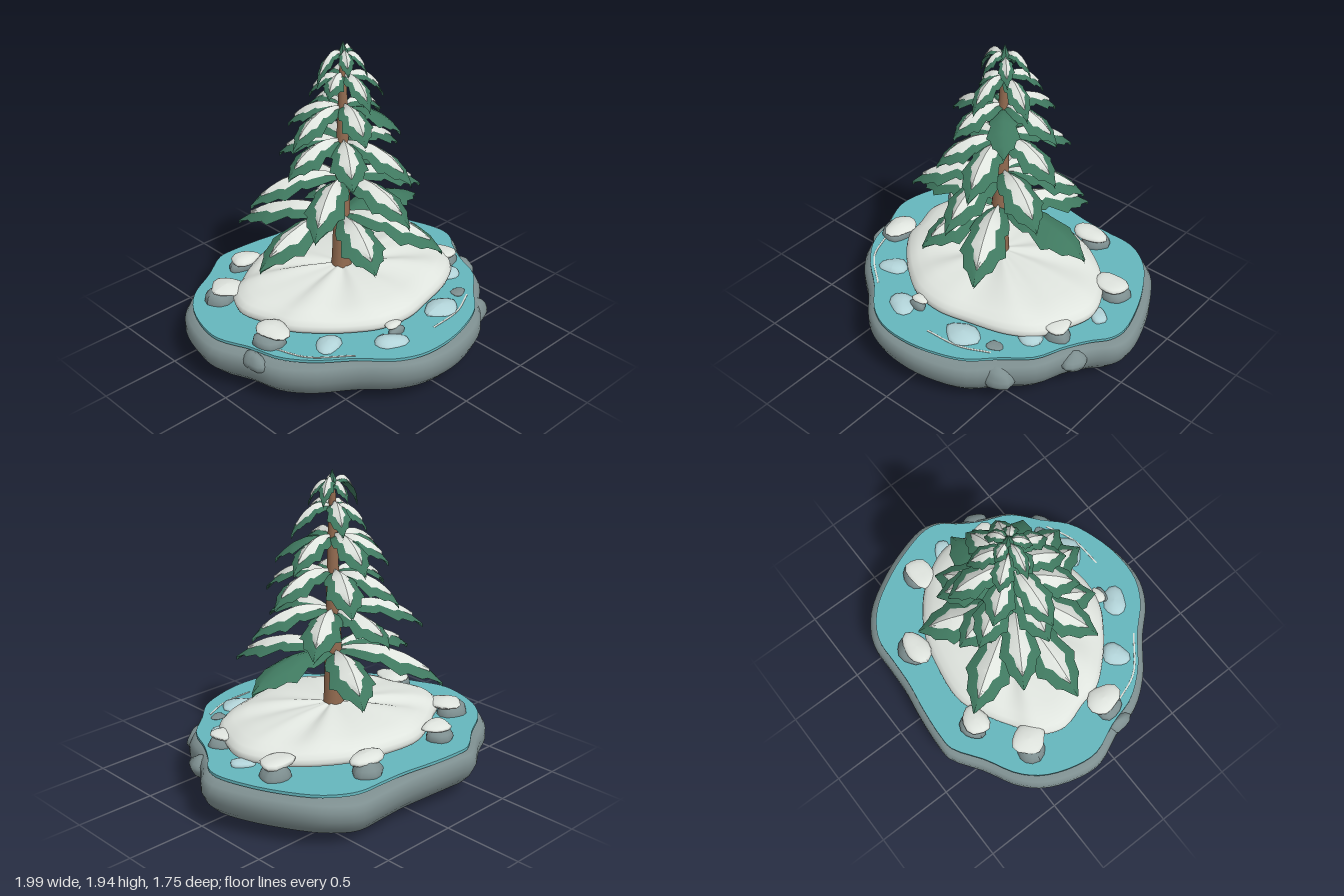
import * as THREE from 'three';
import { toCreasedNormals } from 'three/addons/utils/BufferGeometryUtils.js';

const mat = (name, color) => {
  const m = new THREE.MeshStandardMaterial({ color });
  m.name = name;
  return m;
};

// Closed outline from a few x,z pairs (clockwise seen from above)
function outline(pairs, n = 96) {
  const pts = [];
  for (let i = 0; i < pairs.length; i += 2) pts.push(new THREE.Vector3(pairs[i], 0, pairs[i + 1]));
  return new THREE.CatmullRomCurve3(pts, true).getPoints(n).slice(0, n);
}

// Skin over rows of points; closes each row
function skin(rows, flip) {
  const n = rows[0].length, pos = [], idx = [];
  rows.forEach(r => r.forEach(p => pos.push(...p)));
  for (let i = 0; i < rows.length - 1; i++) for (let j = 0; j < n; j++) {
    const a = i * n + j, b = i * n + (j + 1) % n, c = a + n, d = b + n;
    if (flip) idx.push(a, c, b, b, c, d);
    else idx.push(a, b, c, b, d, c);
  }
  const g = new THREE.BufferGeometry();
  g.setAttribute('position', new THREE.Float32BufferAttribute(pos, 3));
  g.setIndex(idx);
  g.computeVertexNormals();
  return g;
}

// Stack of scaled outlines, listed bottom to top as [scale, y]
function loft(line, rings, cx, cz, wobble = () => 0) {
  return skin(rings.map(([s, y]) => line.map((p, j) =>
    [cx + (p.x - cx) * s, y + wobble(j / line.length * Math.PI * 2, s), cz + (p.z - cz) * s])), true);
}

// Serrated, arched blade along +x; stations are [t, relative half width]
function blade(L, W, rise, drop, stations, lift, thick) {
  const rows = stations.map(([t, w]) => {
    const y = L * (rise * t - (rise + drop) * t * t);
    const at = (s, under) => {
      const z = s * w;
      const bulge = (1 - Math.abs(s)) * (under ? -thick : lift) + lift * 0.5;
      return [t * L, y - 0.45 * W * Math.abs(z) ** 1.5 + bulge, z * W];
    };
    return [-1, -0.5, 0, 0.5, 1].map(s => at(s, false)).concat([0.5, 0, -0.5].map(s => at(s, true)));
  });
  return toCreasedNormals(skin(rows, false), 0.8);
}

// Slightly irregular boulder
function boulder(seed) {
  const g = new THREE.SphereGeometry(1, 14, 9), p = g.attributes.position;
  for (let i = 0; i < p.count; i++) {
    const x = p.getX(i), y = p.getY(i), z = p.getZ(i);
    const k = 1 + 0.1 * Math.sin(3 * x + seed) + 0.08 * Math.sin(4 * z + 2 * seed) + 0.05 * Math.sin(5 * y + seed);
    p.setXYZ(i, x * k, y * k, z * k);
  }
  g.computeVertexNormals();
  return g;
}

export function createModel() {
  const root = new THREE.Group();
  const stone = mat('grey stone', 0x7e8f90), water = mat('teal water', 0x65b6bd), snow = mat('snow', 0xdfe4de);
  const bark = mat('brown bark', 0x936b50), needle = mat('pine green', 0x3f785f), ice = mat('pale ice', 0xb2d3d8);
  const add = (name, geo, m, parent = root) => {
    const mesh = new THREE.Mesh(geo, m);
    mesh.name = name;
    parent.add(mesh);
    return mesh;
  };

  // Stone base
  const shore = outline([-0.38, -0.87, -0.27, -0.878, -0.05, -0.86, 0.15, -0.83, 0.35, -0.82, 0.5, -0.815, 0.6, -0.78,
    0.73, -0.68, 0.85, -0.5, 0.94, -0.3, 0.995, -0.08, 0.97, 0.03, 0.89, 0.13, 0.8, 0.28, 0.72, 0.46, 0.55, 0.61, 0.4, 0.75,
    0.2, 0.83, 0, 0.865, -0.2, 0.85, -0.36, 0.77, -0.52, 0.61, -0.72, 0.45, -0.85, 0.28, -0.91, 0.08, -0.995, -0.13,
    -0.98, -0.3, -0.9, -0.5, -0.78, -0.63, -0.58, -0.74]);
  add('stoneBase', loft(shore, [[0, 0.03], [0.4, 0.03], [0.7, 0.032], [0.84, 0.052], [0.92, 0.09], [0.97, 0.14], [1, 0.2],
    [1, 0.255], [0.98, 0.29], [0.94, 0.308], [0.85, 0.31], [0, 0.31]], 0, 0,
    (a, s) => s * 0.01 * (Math.sin(3 * a + 1) + Math.sin(5 * a))), stone);
  [[0.29, 0.05, 0.5, 0.13, 0.04, 0.13], [0.8, 0.24, 0.23, 0.08, 0.06, 0.09], [-0.86, 0.26, 0.12, 0.06, 0.06, 0.08],
    [0.53, 0.2, 0.57, 0.1, 0.08, 0.1]]
    .forEach(([x, y, z, a, b, c], i) => {
      const m = add('baseLump', boulder(i), stone);
      m.position.set(x, y, z);
      m.scale.set(a, b, c);
    });

  // Water sheet
  const rim = shore.map(p => new THREE.Vector3(p.x * 0.945, 0, p.z * 0.955));
  add('water', toCreasedNormals(loft(rim, [[0, 0.324], [1, 0.324], [1, 0.342], [0, 0.342]], 0, 0), 0.5), water);

  // Snow mound
  const bank = outline([-0.37, -0.52, -0.15, -0.61, 0.1, -0.59, 0.32, -0.53, 0.5, -0.42, 0.62, -0.3, 0.72, -0.13, 0.74, 0,
    0.68, 0.17, 0.6, 0.32, 0.45, 0.42, 0.2, 0.49, 0, 0.53, -0.2, 0.5, -0.35, 0.41, -0.5, 0.28, -0.62, 0.13, -0.65, 0,
    -0.7, -0.2, -0.62, -0.37, -0.5, -0.44]);
  add('snowMound', loft(bank, [[0, 0.35], [0.95, 0.35], [0.99, 0.36], [1, 0.38], [0.99, 0.405], [0.95, 0.43], [0.87, 0.455],
    [0.75, 0.473], [0.55, 0.488], [0.35, 0.497], [0.12, 0.5], [0, 0.5]], 0, -0.05,
    (a, s) => s * (1 - s) * 0.035 * (Math.sin(7 * a) + 0.6 * Math.sin(11 * a + 1))), snow);

  // Snow-capped boulders round the mound: x, z, width, depth
  [[-0.32, -0.61, 0.1, 0.075], [0.29, -0.62, 0.11, 0.09], [0.68, -0.3, 0.105, 0.085], [0.64, 0.2, 0.085, 0.08],
    [-0.63, -0.42, 0.1, 0.11], [-0.71, 0.11, 0.095, 0.105], [-0.14, 0.53, 0.06, 0.035]].forEach(([x, z, a, c], i) => {
    const g = new THREE.Group();
    g.name = 'snowyBoulder';
    g.position.set(x, 0.345, z);
    root.add(g);
    const h = a * 0.7;
    const body = add('boulder', boulder(i), stone, g);
    body.scale.set(a * 0.95, h, c * 0.95);
    body.position.set(x * 0.05, 0, z * 0.05);
    const cap = add('boulderSnow', boulder(i + 3), snow, g);
    cap.scale.set(a, h * 0.38, c);
    cap.position.y = h * 0.98;
  });

  // Floating ice and a flat stone: x, z, width, depth
  [[0.23, 0.57, 0.12, 0.09], [-0.23, 0.6, 0.08, 0.09], [-0.52, 0.37, 0.075, 0.09], [0.55, 0.33, 0.075, 0.085],
    [0.75, -0.08, 0.045, 0.08], [0.44, 0.52, 0.04, 0.05]].forEach(([x, z, a, c], i) => {
    const flat = i === 5;
    const m = add(flat ? 'flatStone' : 'iceFloe', boulder(i + 1), flat ? stone : ice);
    m.position.set(x, 0.343, z);
    m.scale.set(a, flat ? 0.012 : 0.03, c);
    m.rotation.y = i;
  });

  // Ripple lines
  [[-0.77, 0.19, -0.69, 0.38, -0.48, 0.56], [0.05, 0.68, 0.28, 0.66, 0.46, 0.58]].forEach(([a, b, c, d, e, f]) => {
    const curve = new THREE.CatmullRomCurve3([[a, b], [c, d], [e, f]].map(([x, z]) => new THREE.Vector3(x, 0, z)));
    const m = add('ripple', new THREE.TubeGeometry(curve, 16, 0.006, 6), snow);
    m.scale.y = 0.5;
    m.position.y = 0.344;
  });

  // Tree: trunk leans a little
  const tree = new THREE.Group();
  tree.name = 'tree';
  root.add(tree);
  const axis = y => [-0.01 + 0.03 * (y - 0.47) / 1.4, -0.05 - 0.015 * (y - 0.47) / 1.4];
  add('trunk', skin([[0.47, 0.066], [0.6, 0.06], [1.2, 0.042], [1.88, 0.018]].map(([y, r]) =>
    Array.from({ length: 12 }, (_, j) => {
      const a = j / 12 * Math.PI * 2, [x, z] = axis(y);
      return [x + r * Math.cos(a), y, z + r * Math.sin(a)];
    })), true), bark, tree);

  // Branch tiers: root height, half width, rise, tip drop, bare branch, then angle and length of each branch
  const leaf = [[0, 0.15], [0.14, 0.45], [0.3, 0.75], [0.42, 0.85], [0.47, 0.74], [0.66, 1], [0.72, 0.76], [0.84, 0.62], [0.88, 0.4], [1, 0.03]];
  const frost = [[0.08, 0.06], [0.18, 0.18], [0.32, 0.38], [0.42, 0.46], [0.47, 0.34], [0.64, 0.52], [0.7, 0.32], [0.78, 0.25], [0.88, 0.01]];
  [[0.82, 0.142, 0.45, 0.2, 0, [0, 0.65, 64, 0.64, 112, 0.53, 181, 0.65, 239, 0.67, 298, 0.6]],
    [1.07, 0.125, 0.5, 0.23, -1, [26, 0.5, 87, 0.54, 150, 0.55, 211, 0.56, 265, 0.43, 327, 0.5]],
    [1.31, 0.115, 0.5, 0.3, -1, [5, 0.43, 75, 0.47, 125, 0.4, 185, 0.4, 245, 0.41, 300, 0.44]],
    [1.53, 0.098, 0.5, 0.36, 1, [352, 0.36, 50, 0.34, 110, 0.33, 180, 0.39, 235, 0.33, 285, 0.38]],
    [1.72, 0.072, 0.75, 0.5, -1, [20, 0.26, 95, 0.25, 165, 0.16, 235, 0.2, 300, 0.24]],
    [1.85, 0.048, 1.2, 0.65, -1, [45, 0.14, 120, 0.13, 185, 0.19, 260, 0.11, 335, 0.15]]]
    .forEach(([y, W, rise, drop, bare, list], tier) => {
      for (let k = 0; k < list.length; k += 2) {
        const len = list[k + 1], g = new THREE.Group(), [x, z] = axis(y);
        const isBare = k / 2 === bare;
        // The lowest bare branch carries no load and hangs less
        const hang = isBare && tier === 0 ? 0.13 : drop;
        g.name = 'branch';
        g.position.set(x, y + 0.012 * Math.sin(k * 1.15 + tier), z);
        g.rotation.y = -THREE.MathUtils.degToRad(list[k]);
        tree.add(g);
        add('needles', blade(len, W, rise, hang, leaf, 0.004, 0.022), needle, g);
        if (!isBare) add('branchSnow', blade(len, W, rise, hang, frost, 0.016, 0.01), snow, g);
      }
    });

  // Pointed tip
  const tip = add('treeTip', toCreasedNormals(new THREE.LatheGeometry(
    [[0, 1.8], [0.042, 1.86], [0.02, 1.9], [0, 1.95]].map(([r, h]) => new THREE.Vector2(r, h)), 7), 0.6), needle, tree);
  tip.position.set(0.02, 0, -0.065);

  return root;
}
